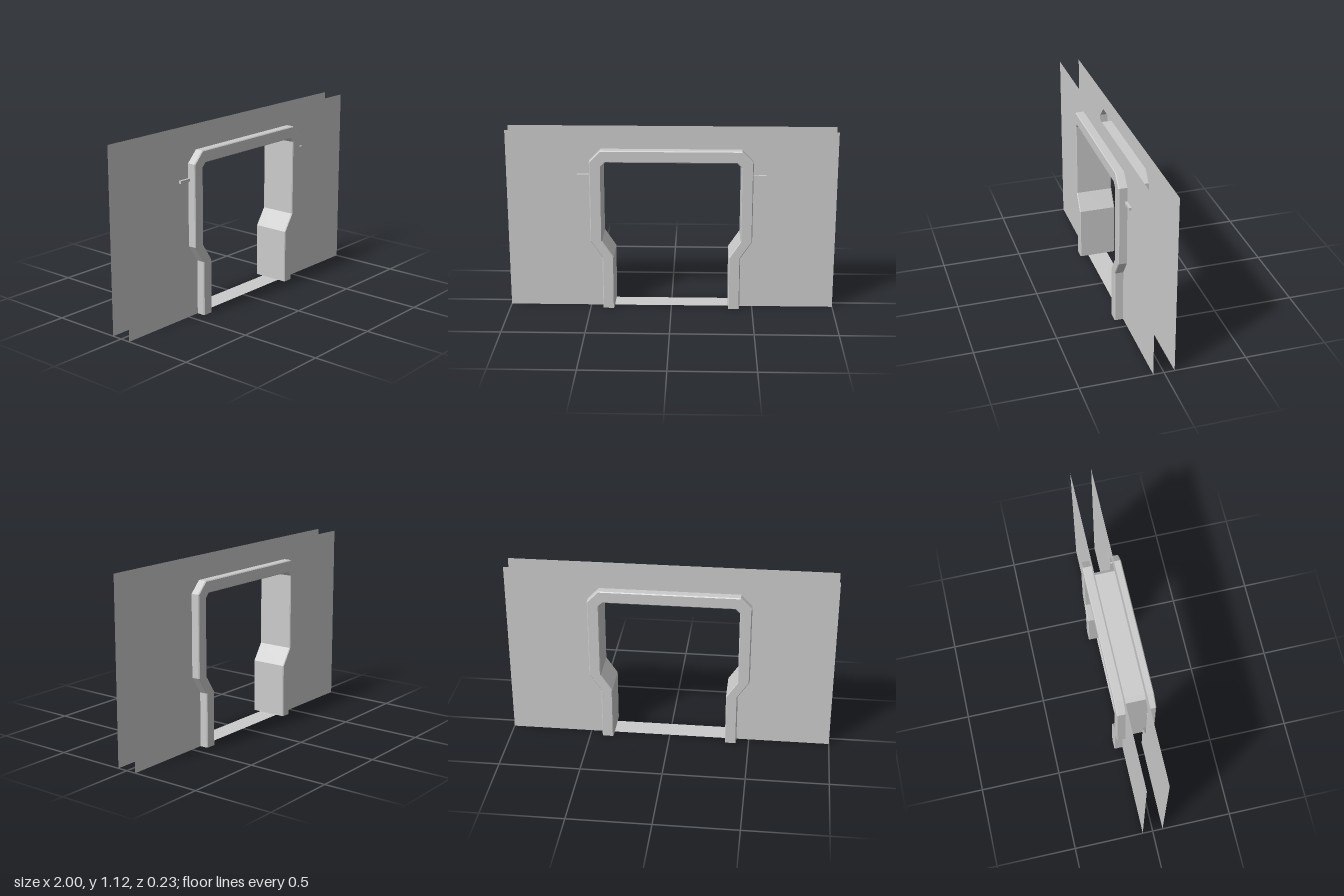
import * as THREE from 'three';

const material = new THREE.MeshStandardMaterial({ color: 0xcccccc, flatShading: true, side: THREE.DoubleSide });

// Turn a left-hand half outline into the whole arch, running from +x foot to -x foot
const arch = half => [...half, ...half.map(([x, y]) => [-x, y]).reverse()];
const inner = arch([[0.352, 0], [0.352, 0.335], [0.422, 0.44], [0.422, 0.91], [0.396, 0.936]]);
const outer = arch([[0.422, 0], [0.422, 0.335], [0.493, 0.44], [0.493, 0.94], [0.425, 1.01]]);

const WALL_Z = 0.064, FRONT_Z = 0.1165;

// Surface through cross-section points [t, z], where t goes from inner (0) to outer (1) outline
function sweepArch(section) {
  const positions = [], index = [], n = section.length;
  inner.forEach(([ix, iy], i) => {
    const [ox, oy] = outer[i];
    for (const [t, z] of section) positions.push(ix + (ox - ix) * t, iy + (oy - iy) * t, z);
  });
  for (let i = 0; i < inner.length - 1; i++) {
    for (let j = 0; j < n - 1; j++) {
      const a = i * n + j, b = a + n;
      index.push(a, a + 1, b, b, a + 1, b + 1);
    }
  }
  const g = new THREE.BufferGeometry();
  g.setAttribute('position', new THREE.Float32BufferAttribute(positions, 3));
  g.setIndex(index);
  const flat = g.toNonIndexed();
  flat.computeVertexNormals();
  return flat;
}

export function createModel() {
  const model = new THREE.Group();
  model.name = 'doorway';
  const add = (name, geometry, x = 0, y = 0, z = 0) => {
    const mesh = new THREE.Mesh(geometry, material);
    mesh.name = name;
    mesh.position.set(x, y, z);
    model.add(mesh);
    return mesh;
  };

  // Thin wall sheets, cut out around the arch
  const wall = new THREE.Shape([[-1, 0], [-1, 1.12], [1, 1.12], [1, 0], ...outer]
    .map(([x, y]) => new THREE.Vector2(x, y)));
  const wallGeometry = new THREE.ShapeGeometry(wall);
  add('frontWall', wallGeometry, 0, 0, WALL_Z);
  add('backWall', wallGeometry, 0, 0, -WALL_Z).rotation.y = Math.PI;

  // Raised hollow trim with narrow bevels on both sides
  for (const [name, s] of [['frontFrame', 1], ['backFrame', -1]]) {
    const section = [[0, WALL_Z], [0, FRONT_Z - 0.005], [0.07, FRONT_Z],
      [0.93, FRONT_Z], [1, FRONT_Z - 0.005], [1, WALL_Z]].map(([t, z]) => [t, s * z]);
    add(name, sweepArch(s > 0 ? section : section.reverse()));
  }

  // Passage lining between the two frames
  add('passageLining', sweepArch([[0, -WALL_Z], [0, WALL_Z]]));

  // Threshold between the feet
  const floor = new THREE.PlaneGeometry(0.704, WALL_Z * 2);
  floor.rotateX(-Math.PI / 2);
  add('threshold', floor);

  // Small pins at the sides of the front frame
  const pin = new THREE.BoxGeometry(0.085, 0.017, 0.016);
  add('leftPin', pin, 0.528, 0.844, 0.071);
  add('rightPin', pin, -0.528, 0.844, 0.071);

  return model;
}
